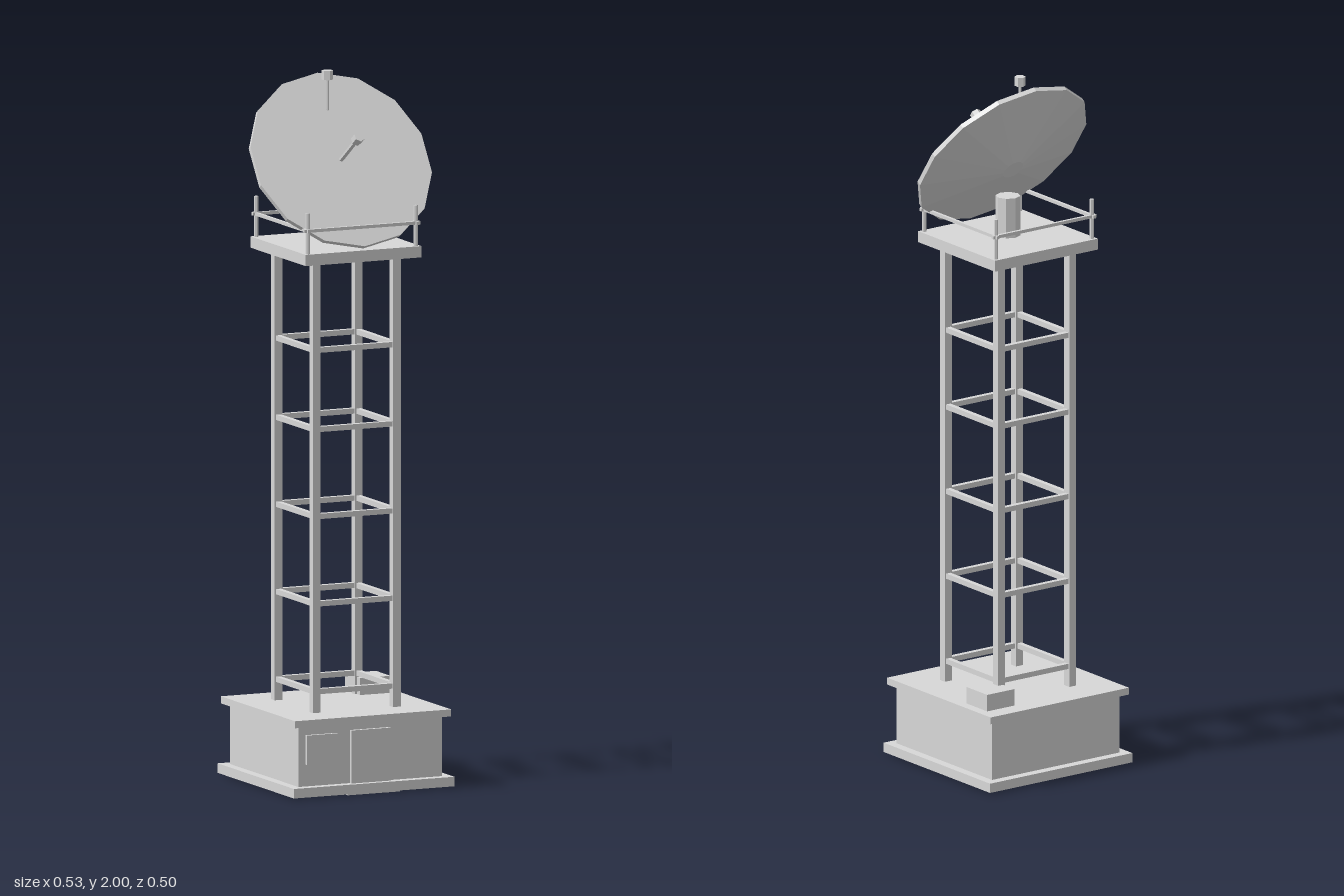
import * as THREE from 'three';

export function createModel() {
  const root = new THREE.Group();
  const grey = new THREE.MeshStandardMaterial({ color: 0xd8d8d8, flatShading: true });
  grey.name = 'light grey';

  const add = (parent, name, geometry, x, y, z) => {
    const mesh = new THREE.Mesh(geometry, grey);
    mesh.name = name;
    mesh.position.set(x, y, z);
    parent.add(mesh);
    return mesh;
  };
  // Box given by its lower and upper limits on each axis
  const box = (parent, name, [x0, x1], [y0, y1], [z0, z1]) =>
    add(parent, name, new THREE.BoxGeometry(x1 - x0, y1 - y0, z1 - z0),
      (x0 + x1) / 2, (y0 + y1) / 2, (z0 + z1) / 2);
  // Square slab centred on the tower axis
  const slab = (parent, name, half, y0, y1) =>
    box(parent, name, [-half, half], [y0, y1], [-half, half]);
  // Upright prism from y0 to y1
  const rod = (parent, name, rTop, rBottom, y0, y1, sides, x = 0, z = 0) =>
    add(parent, name, new THREE.CylinderGeometry(rTop, rBottom, y1 - y0, sides), x, (y0 + y1) / 2, z);
  const group = (name) => {
    const g = new THREE.Group();
    g.name = name;
    root.add(g);
    return g;
  };
  // Four bars forming a square ring
  const ring = (parent, name, y, offset, length, thick) => {
    for (const s of [-1, 1]) {
      add(parent, name, new THREE.BoxGeometry(length, thick, thick), 0, y, s * offset);
      add(parent, name, new THREE.BoxGeometry(thick, thick, length), s * offset, y, 0);
    }
  };
  const corners = [[-1, -1], [1, -1], [1, 1], [-1, 1]];

  // Equipment hut
  const hut = group('hut');
  slab(hut, 'foundation', 0.248, 0.003, 0.03);
  box(hut, 'doorStep', [-0.08, 0.08], [0, 0.02], [0.215, 0.246]);
  slab(hut, 'walls', 0.222, 0.03, 0.2);
  slab(hut, 'roof', 0.241, 0.2, 0.22);
  box(hut, 'door', [-0.062, 0.06], [0.03, 0.18], [0.22, 0.232]);
  box(hut, 'wallUnit', [-0.2, -0.105], [0.092, 0.175], [0.22, 0.231]);
  box(hut, 'roofUnit', [0.118, 0.213], [0.22, 0.268], [-0.188, -0.092]);

  // Open tower frame
  const tower = group('tower');
  for (const [sx, sz] of corners) {
    add(tower, 'leg', new THREE.BoxGeometry(0.024, 1.275, 0.024), sx * 0.124, 0.8575, sz * 0.124);
  }
  for (const y of [0.279, 0.527, 0.774, 1.02, 1.244]) ring(tower, 'crossBar', y, 0.124, 0.235, 0.015);

  // Platform with guard rail
  const platform = group('platform');
  slab(platform, 'deck', 0.179, 1.493, 1.525);
  for (const [sx, sz] of corners) {
    rod(platform, 'railPost', 0.006, 0.006, 1.525, 1.64, 6, sx * 0.167, sz * 0.167);
  }
  ring(platform, 'handRail', 1.59, 0.168, 0.358, 0.009);
  rod(platform, 'pedestal', 0.035, 0.035, 1.525, 1.64, 8);

  // Tilted dish, built facing up and then tipped towards the front
  const dish = group('dish');
  dish.position.set(0, 1.761, 0.034);
  dish.rotation.x = 0.965;
  rod(dish, 'dishRim', 0.271, 0.271, -0.014, 0, 14);
  rod(dish, 'dishBack', 0.271, 0.032, -0.071, -0.014, 14);
  rod(dish, 'feedRod', 0.007, 0.007, -0.005, 0.122, 6);
  rod(dish, 'feedHorn', 0.016, 0.016, 0.118, 0.146, 6);

  // Upright aerial on the upper part of the dish
  const aerial = group('aerial');
  rod(aerial, 'aerialRod', 0.004, 0.004, 1.87, 1.98, 6, 0, -0.056);
  rod(aerial, 'aerialCap', 0.016, 0.016, 1.974, 2, 6, 0, -0.056);

  return root;
}
